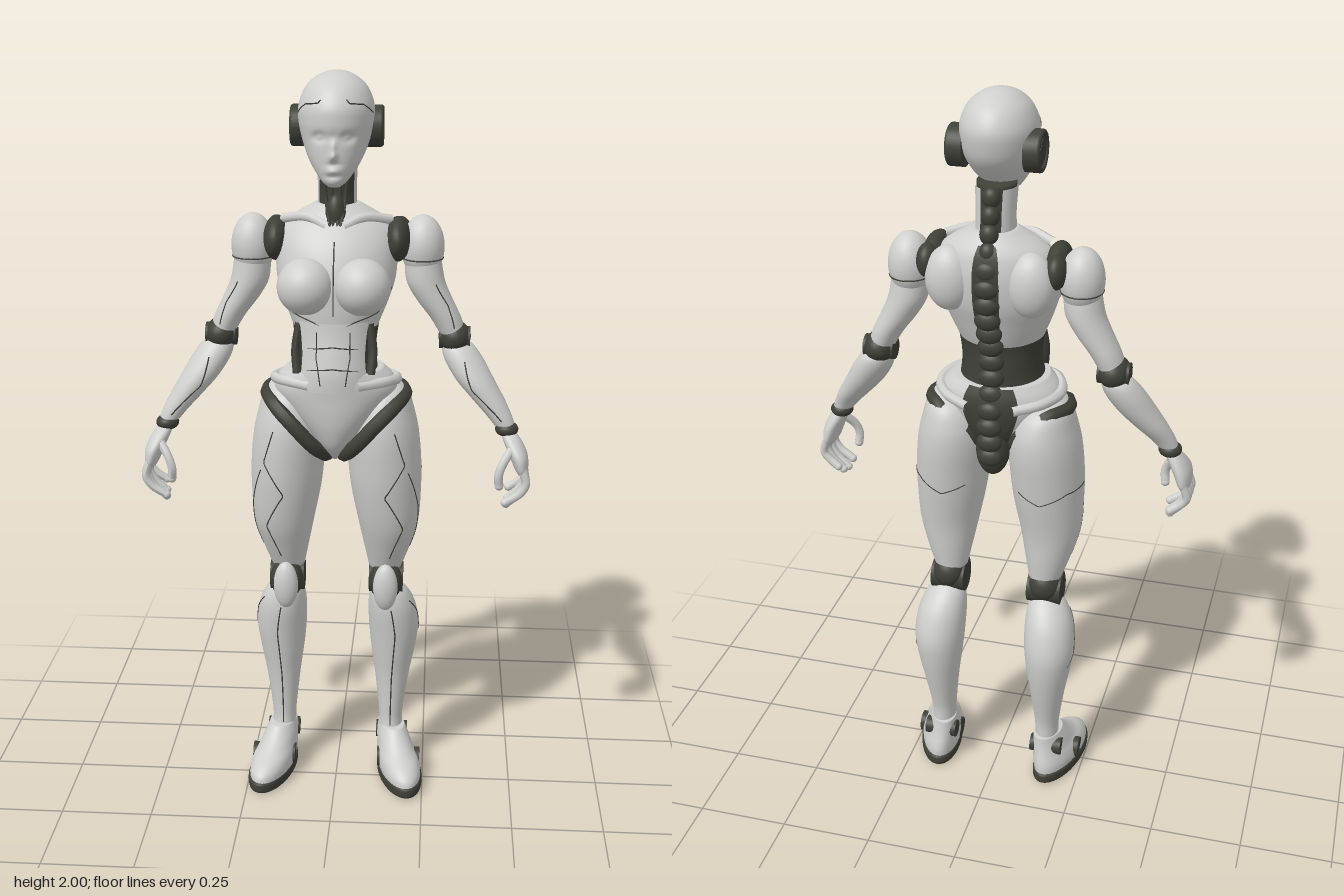
import * as THREE from 'three';

const shell = new THREE.MeshStandardMaterial({ color: 0xcfcfcd });
shell.name = 'light grey shell';
const joint = new THREE.MeshStandardMaterial({ color: 0x3f4038 });
joint.name = 'dark joint';

const RAD = Math.PI / 180;

// Smooth body surface from sections [y, centreX, halfWidth, backZ, frontZ]
// Returns a point at section index t and angle a (0 = front, 90 deg = +x)
function surface(sections) {
  const last = sections.length - 1;
  const at = (t, k) => {
    const i = Math.min(Math.floor(t), last - 1), f = t - i;
    const p = j => sections[Math.max(0, Math.min(last, j))][k];
    const [a, b, c, d] = [p(i - 1), p(i), p(i + 1), p(i + 2)];
    return b + 0.5 * f * (c - a + f * (2 * a - 5 * b + 4 * c - d + f * (3 * (b - c) + d - a)));
  };
  const point = (t, a, off = 0) => {
    const zb = at(t, 3), zf = at(t, 4);
    return new THREE.Vector3(
      at(t, 1) + (Math.max(at(t, 2), 0) + off) * Math.sin(a),
      at(t, 0),
      (zb + zf) / 2 + ((zf - zb) / 2 + off) * Math.cos(a));
  };
  const find = y => {
    let lo = 0, hi = last;
    for (let i = 0; i < 30; i++) {
      const m = (lo + hi) / 2;
      if (at(m, 0) < y) lo = m; else hi = m;
    }
    return lo;
  };
  return { point, find, last };
}

function build(rows, cols, wrap, pointAt) {
  const pos = [], idx = [], n = wrap ? cols : cols + 1;
  for (let r = 0; r <= rows; r++) for (let c = 0; c < n; c++) pos.push(...pointAt(r / rows, c / cols).toArray());
  for (let r = 0; r < rows; r++) for (let c = 0; c < cols; c++) {
    const a = r * n + c, b = r * n + (c + 1) % n;
    idx.push(a, b, b + n, a, b + n, a + n);
  }
  if (wrap) {
    // close both ends with a fan
    for (const r of [0, rows]) {
      const mid = new THREE.Vector3();
      for (let c = 0; c < n; c++) mid.add(pointAt(r / rows, c / cols));
      const m = pos.length / 3;
      pos.push(...mid.divideScalar(n).toArray());
      for (let c = 0; c < n; c++) {
        const a = r * n + c, b = r * n + (c + 1) % n;
        if (r) idx.push(a, b, m); else idx.push(b, a, m);
      }
    }
  }
  const g = new THREE.BufferGeometry();
  g.setAttribute('position', new THREE.Float32BufferAttribute(pos, 3));
  g.setIndex(idx);
  g.computeVertexNormals();
  return g;
}

const loft = (s, cols = 36, step = 5) => build(s.last * step, cols, true, (v, u) => s.point(v * s.last, u * 2 * Math.PI));

// Thin plate lying on a surface, between two heights and two angles
function plate(s, y0, y1, a0, a1, off = 0.004) {
  const t0 = s.find(y0), t1 = s.find(y1);
  return build(14, 24, false, (v, u) => s.point(t0 + (t1 - t0) * v, (a0 + (a1 - a0) * u) * RAD, off));
}

const curve = (pts, closed = false) => new THREE.CatmullRomCurve3(pts.map(p => new THREE.Vector3(...p)), closed);
const tube = (pts, r, closed = false) => new THREE.TubeGeometry(curve(pts, closed), 32, r, 8, closed);

// Fine panel line following a surface through [y, angle] points
function seam(s, pts) {
  const line = [];
  for (let i = 0; i < pts.length - 1; i++) for (let f = 0; f < 6; f++) {
    const k = f / 6, mix = j => pts[i][j] * (1 - k) + pts[i + 1][j] * k;
    line.push(s.point(s.find(mix(0)), mix(1) * RAD).toArray());
  }
  return new THREE.TubeGeometry(curve(line), line.length * 2, 0.0018, 4);
}

const ball = (p, r) => new THREE.SphereGeometry(1, 28, 20).scale(...r).translate(...p);
const disc = (p, r, len) => new THREE.CylinderGeometry(r, r, len, 32).rotateZ(Math.PI / 2).translate(...p);

function mirrored(g) {
  const m = g.clone().scale(-1, 1, 1), i = m.index.array;
  for (let k = 0; k < i.length; k += 3) [i[k], i[k + 1]] = [i[k + 1], i[k]];
  m.computeVertexNormals();
  return m;
}

export function createModel() {
  const model = new THREE.Group();
  model.name = 'humanoid robot';
  const add = (name, g, mat) => {
    const m = new THREE.Mesh(g, mat);
    m.name = name;
    model.add(m);
  };
  const pair = (name, g, mat) => {
    add(name + 'Left', g, mat);
    add(name + 'Right', mirrored(g), mat);
  };

  // Head with sculpted face
  const headForm = surface([[1.724, 0, 0.016, 0.05, 0.085], [1.738, 0, 0.034, 0.01, 0.097], [1.77, 0, 0.058, -0.05, 0.102],
    [1.80, 0, 0.074, -0.09, 0.103], [1.84, 0, 0.088, -0.125, 0.103], [1.88, 0, 0.096, -0.14, 0.107], [1.92, 0, 0.095, -0.143, 0.103],
    [1.96, 0, 0.078, -0.123, 0.077], [1.985, 0, 0.051, -0.09, 0.042], [1.997, 0, 0.024, -0.055, 0.005], [2, 0, 0.002, -0.025, -0.021]]);
  const head = loft(headForm, 96, 8), hp = head.attributes.position;
  const bumps = [[0.036, 1.848, 0.017, 0.012, -0.012], [0, 1.85, 0.012, 0.014, -0.004], [0, 1.803, 0.009, 0.011, 0.015],
    [0, 1.825, 0.007, 0.018, 0.009], [0, 1.766, 0.018, 0.007, 0.006], [0, 1.783, 0.02, 0.005, -0.003],
    [0, 1.752, 0.02, 0.005, -0.005], [0.035, 1.848, 0.009, 0.006, 0.007]];
  for (let i = 0; i < hp.count; i++) {
    if (hp.getZ(i) < 0.02) continue;
    const x = Math.abs(hp.getX(i)), y = hp.getY(i);
    let dz = 0;
    for (const [bx, by, sx, sy, h] of bumps) dz += h * Math.exp(-(((x - bx) / sx) ** 2) - ((y - by) / sy) ** 2);
    hp.setZ(i, hp.getZ(i) + dz);
  }
  head.computeVertexNormals();
  add('head', head, shell);
  pair('earDisc', disc([0.094, 1.86, -0.048], 0.053, 0.036), joint);
  pair('earRim', new THREE.TorusGeometry(0.046, 0.007, 10, 36).rotateY(Math.PI / 2).translate(0.112, 1.86, -0.048), joint);
  pair('earHub', disc([0.1, 1.86, -0.048], 0.03, 0.032), joint);
  pair('templeSeam', seam(headForm, [[1.9, 75], [1.925, 50], [1.93, 25], [1.94, 20]]), joint);

  // Neck
  const neck = surface([[1.58, 0, 0.05, -0.12, 0.03], [1.64, 0, 0.048, -0.115, 0.01], [1.70, 0, 0.046, -0.108, -0.002], [1.78, 0, 0.05, -0.1, 0.01]]);
  add('neckCore', loft(neck), joint);
  pair('neckSide', plate(neck, 1.6, 1.77, 62, 148), shell);
  add('throat', ball([0, 1.645, 0.012], [0.026, 0.05, 0.025]), joint);
  for (const x of [0.012, 0.03]) pair('throatCable', tube([[x, 1.74, 0.01], [x * 0.8, 1.68, 0.012], [x * 0.4, 1.61, 0.04]], 0.005), joint);

  // Chest, shoulder blades and collar
  const chest = surface([[1.335, 0, 0.104, -0.09, 0.105], [1.37, 0, 0.117, -0.108, 0.112], [1.42, 0, 0.137, -0.128, 0.115],
    [1.48, 0, 0.155, -0.15, 0.112], [1.55, 0, 0.158, -0.158, 0.088], [1.60, 0, 0.148, -0.152, 0.056], [1.632, 0, 0.115, -0.14, 0.03], [1.665, 0, 0.055, -0.118, 0.0]]);
  add('chest', loft(chest, 48), shell);
  pair('breast', ball([0.073, 1.472, 0.088], [0.073, 0.073, 0.076]), shell);
  pair('shoulderBlade', ball([0.105, 1.54, -0.115], [0.062, 0.085, 0.052]), shell);
  pair('collar', tube([[0.02, 1.615, 0.035], [0.07, 1.635, 0.01], [0.14, 1.625, -0.03]], 0.013), shell);
  add('sternumSeam', seam(chest, [[1.4, 0], [1.5, 0], [1.6, 0]]), joint);
  pair('ribSeam', seam(chest, [[1.36, 0], [1.385, 30], [1.4, 60], [1.47, 80]]), joint);

  // Waist with abdomen plate
  const waist = surface([[1.18, 0, 0.13, -0.11, 0.125], [1.24, 0, 0.112, -0.104, 0.128], [1.29, 0, 0.106, -0.1, 0.12], [1.34, 0, 0.11, -0.098, 0.11], [1.4, 0, 0.12, -0.11, 0.105]]);
  add('waistCore', loft(waist, 48), joint);
  add('abdomen', plate(waist, 1.2, 1.38, -46, 46, 0.007), shell);
  for (const y of [1.255, 1.31]) add('abdomenSeam', seam(waist, [[y, -44], [y + 0.01, 0], [y, 44]]).translate(0, 0, 0.007), joint);
  pair('abdomenSideSeam', seam(waist, [[1.22, 16], [1.29, 24], [1.37, 22]]).translate(0, 0, 0.007), joint);
  pair('waistRib', tube([[0.09, 1.37, 0.06], [0.1, 1.3, 0.07], [0.095, 1.24, 0.085]], 0.012), joint);

  // Spine
  const spine = curve([[0, 1.75, -0.098], [0, 1.66, -0.122], [0, 1.55, -0.152], [0, 1.45, -0.142], [0, 1.35, -0.108], [0, 1.25, -0.108], [0, 1.15, -0.128], [0, 1.05, -0.122]]);
  for (let i = 0; i < 17; i++) {
    const p = spine.getPointAt(i / 16), w = i < 4 ? 0.024 : 0.034;
    add('vertebra', ball(p.toArray(), [w, 0.027, 0.021]), joint);
  }
  add('spineStrip', plate(chest, 1.34, 1.64, 168, 192, 0.006), joint);

  // Pelvis
  const pelvis = surface([[0.99, 0, 0.012, -0.02, 0.04], [1.03, 0, 0.042, -0.06, 0.09], [1.08, 0, 0.085, -0.1, 0.113],
    [1.13, 0, 0.13, -0.118, 0.123], [1.18, 0, 0.162, -0.125, 0.127], [1.215, 0, 0.155, -0.122, 0.13], [1.245, 0, 0.125, -0.112, 0.13]]);
  add('pelvis', loft(pelvis, 48), shell);
  add('tailPlate', plate(pelvis, 1.06, 1.245, 154, 206, 0.007), joint);
  add('tailbone', ball([0, 1.06, -0.09], [0.045, 0.075, 0.045]), joint);
  pair('hipStrap', tube([[0.06, 1.215, 0.115], [0.14, 1.215, 0.06], [0.162, 1.205, -0.01], [0.13, 1.2, -0.08], [0.06, 1.19, -0.122]], 0.014), shell);
  pair('hipJoint', tube([[0.183, 1.165, -0.02], [0.158, 1.15, 0.07], [0.105, 1.1, 0.102], [0.045, 1.03, 0.082], [0.02, 1.0, 0.01], [0.05, 1.08, -0.08], [0.14, 1.165, -0.095]], 0.02, true), joint);

  // Thighs
  const thigh = surface([[0.655, 0.135, 0.045, -0.088, 0.012], [0.72, 0.14, 0.063, -0.096, 0.042], [0.8, 0.143, 0.082, -0.104, 0.074], [0.9, 0.136, 0.095, -0.122, 0.095],
    [0.98, 0.131, 0.099, -0.134, 0.104], [1.06, 0.125, 0.097, -0.143, 0.107], [1.12, 0.123, 0.085, -0.138, 0.097], [1.17, 0.13, 0.062, -0.115, 0.072], [1.195, 0.14, 0.025, -0.06, 0.02]]);
  pair('thigh', loft(thigh, 48), shell);
  pair('thighSeam', seam(thigh, [[0.7, 10], [0.8, 30], [0.9, 0], [0.99, 35], [1.1, 20]]), joint);
  pair('thighOuterSeam', seam(thigh, [[0.72, 80], [0.85, 70], [0.99, 35]]), joint);
  pair('thighBackSeam', seam(thigh, [[0.95, 90], [0.95, 135], [0.92, 180], [0.95, 225]]), joint);

  // Knees
  pair('kneeHinge', disc([0.138, 0.615, -0.042], 0.043, 0.094), joint);
  pair('kneeBack', ball([0.138, 0.635, -0.06], [0.044, 0.045, 0.04]), joint);
  pair('kneeFrame', ball([0.138, 0.62, 0.0], [0.046, 0.06, 0.035]), joint);
  pair('kneeCap', ball([0.138, 0.61, 0.024], [0.034, 0.068, 0.027]), shell);

  // Lower legs
  const shin = surface([[0.09, 0.157, 0.037, -0.115, -0.01], [0.15, 0.155, 0.033, -0.114, -0.026], [0.2, 0.155, 0.036, -0.118, -0.028], [0.3, 0.157, 0.049, -0.143, -0.022],
    [0.38, 0.159, 0.062, -0.16, -0.01], [0.45, 0.16, 0.07, -0.164, 0.001], [0.52, 0.155, 0.067, -0.145, 0.01], [0.57, 0.147, 0.053, -0.112, 0.006], [0.6, 0.14, 0.03, -0.075, -0.01]]);
  pair('shin', loft(shin, 40), shell);
  pair('shinSeam', seam(shin, [[0.15, 0], [0.3, 0], [0.45, 5], [0.55, 0]]), joint);
  pair('calfSeam', seam(shin, [[0.55, 60], [0.5, 85], [0.44, 90], [0.4, 120]]), joint);

  // Feet, toes turned slightly out
  const foot = (rows) => {
    const g = loft(surface(rows), 44), p = g.attributes.position;
    for (let i = 0; i < p.count; i++) p.setX(i, p.getX(i) + 0.17 * p.getZ(i));
    g.computeVertexNormals();
    return g;
  };
  pair('sole', foot([[0, 0.185, 0.056, -0.138, 0.12], [0.008, 0.185, 0.061, -0.148, 0.13], [0.028, 0.185, 0.061, -0.148, 0.131], [0.034, 0.185, 0.056, -0.14, 0.125]]), joint);
  pair('shoe', foot([[0.03, 0.184, 0.058, -0.142, 0.126], [0.05, 0.183, 0.059, -0.142, 0.12], [0.07, 0.18, 0.056, -0.138, 0.096], [0.09, 0.176, 0.05, -0.132, 0.056],
    [0.115, 0.172, 0.045, -0.126, 0.02], [0.145, 0.169, 0.036, -0.122, -0.012]]), shell);
  pair('instepDisc', disc([0.18, 0.055, -0.018], 0.029, 0.122), joint);
  pair('ankleDisc', disc([0.158, 0.105, -0.09], 0.025, 0.09), joint);

  // Shoulders and upper arms
  pair('shoulderJoint', ball([0.158, 1.572, -0.04], [0.034, 0.058, 0.078]), joint);
  pair('shoulderBackJoint', ball([0.165, 1.575, -0.1], [0.028, 0.045, 0.04]), joint);
  pair('shoulderCap', ball([0.223, 1.548, -0.063], [0.057, 0.084, 0.062]), shell);
  pair('shoulderSeam', new THREE.TorusGeometry(1, 0.03, 6, 48).rotateX(Math.PI / 2).scale(0.054, 0.06, 0.06).translate(0.223, 1.52, -0.063), joint);
  const upperArm = surface([[1.315, 0.308, 0.035, -0.105, -0.02], [1.36, 0.287, 0.041, -0.112, -0.013], [1.41, 0.256, 0.048, -0.115, -0.008],
    [1.46, 0.232, 0.051, -0.116, -0.006], [1.52, 0.224, 0.048, -0.11, -0.01]]);
  pair('upperArm', loft(upperArm), shell);
  pair('upperArmSeam', seam(upperArm, [[1.34, 20], [1.4, 40], [1.47, 30]]), joint);

  // Elbows and forearms
  pair('elbow', ball([0.312, 1.308, -0.063], [0.043, 0.042, 0.052]), joint);
  pair('elbowHinge', disc([0.312, 1.305, -0.063], 0.03, 0.082), joint);
  const forearm = surface([[1.085, 0.449, 0.028, -0.028, 0.028], [1.11, 0.434, 0.034, -0.04, 0.028], [1.15, 0.405, 0.043, -0.064, 0.026],
    [1.2, 0.368, 0.051, -0.088, 0.02], [1.25, 0.338, 0.052, -0.104, 0.002], [1.285, 0.321, 0.042, -0.105, -0.018], [1.3, 0.315, 0.024, -0.085, -0.04]]);
  pair('forearm', loft(forearm), shell);
  pair('forearmSeam', seam(forearm, [[1.1, 0], [1.18, -25], [1.27, 10]]), joint);

  // Wrists and hands
  pair('wrist', ball([0.456, 1.073, 0.002], [0.031, 0.021, 0.031]), joint);
  pair('palm', loft(surface([[0.962, 0.498, 0.013, -0.022, 0.068], [0.978, 0.496, 0.02, -0.033, 0.076], [1.01, 0.488, 0.025, -0.033, 0.075],
    [1.04, 0.474, 0.025, -0.026, 0.055], [1.066, 0.46, 0.021, -0.016, 0.025]])), shell);
  const finger = (pts, r) => {
    pair('finger', tube(pts, r), shell);
    pair('fingerTip', ball(pts[pts.length - 1], [r, r, r]), shell);
  };
  [[-0.02, 0.9], [0.008, 0.878], [0.036, 0.872], [0.062, 0.885]].forEach(([z, tip], i) =>
    finger([[0.498, 0.98, z], [0.509, 0.94, z + 0.003], [0.495, (tip + 0.94) / 2, z + 0.003], [0.468 - 0.004 * i, tip, z]], 0.0115));
  finger([[0.47, 1.03, 0.045], [0.446, 0.995, 0.068], [0.436, 0.965, 0.074], [0.438, 0.935, 0.07]], 0.012);

  return model;
}
